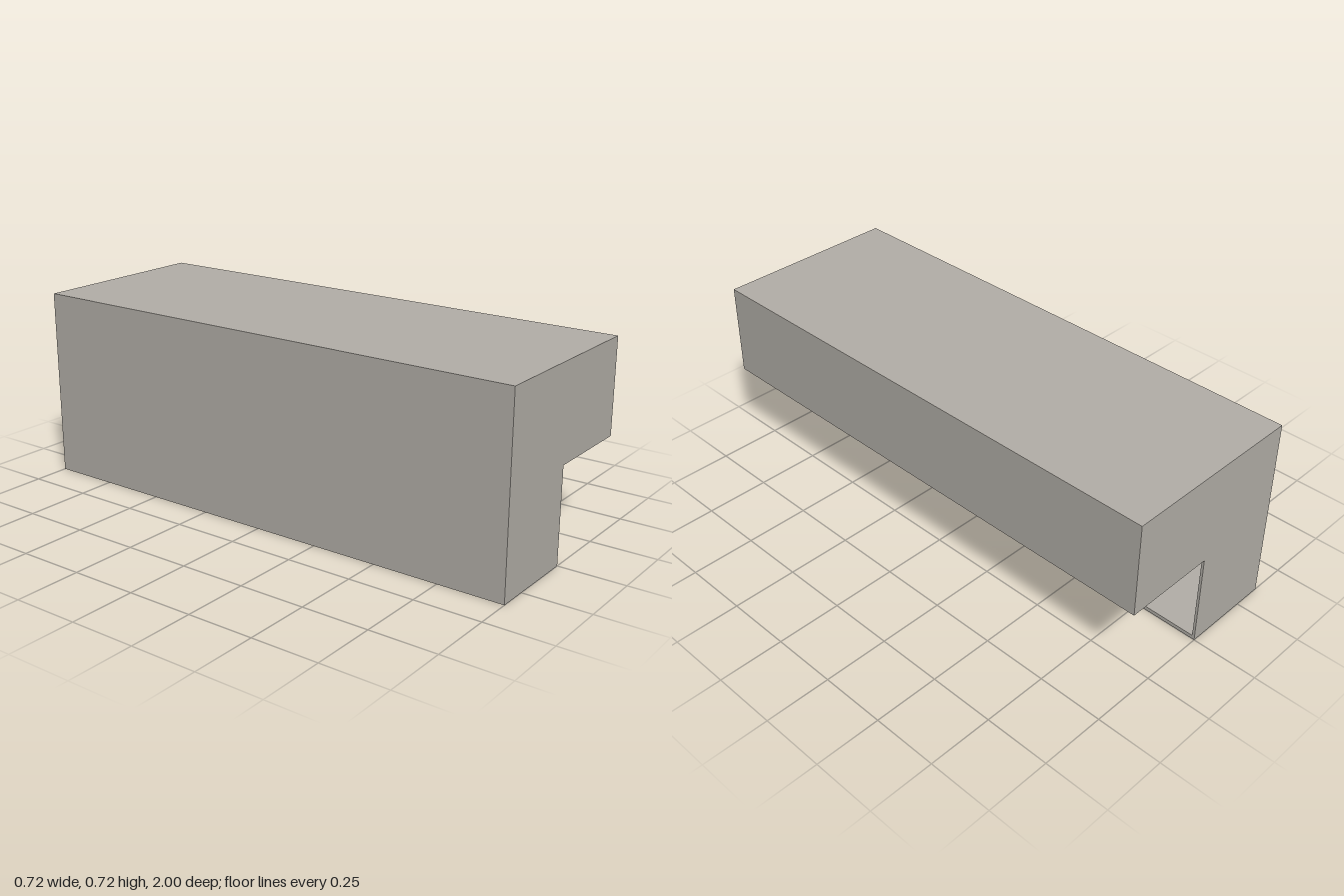
import * as THREE from 'three';

const T = 0.01;      // panel thickness
const FLOOR = 0.015; // floor thickness

function shapeOf(points) {
  return new THREE.Shape(points.map(([x, y]) => new THREE.Vector2(x, y)));
}

// Extrude a cross-section along z, centred on the given z
function slab(points, depth, z, name, material) {
  const geometry = new THREE.ExtrudeGeometry(shapeOf(points), { depth, bevelEnabled: false });
  geometry.translate(0, 0, z - depth / 2);
  const mesh = new THREE.Mesh(geometry, material);
  mesh.name = name;
  return mesh;
}

export function createModel() {
  const group = new THREE.Group();
  group.name = 'overhangingStallBlock';
  const grey = new THREE.MeshStandardMaterial({ color: 0xb3afa8 });
  grey.name = 'warm grey';

  // Back wall, floor, roof and hanging front wall as one continuous section
  const shell = [
    [-0.36, 0], [0, 0], [0, FLOOR], [-0.36 + T, FLOOR], [-0.36 + T, 0.72 - T],
    [0.36 - T, 0.72 - T], [0.36 - T, 0.36], [0.36, 0.36], [0.36, 0.72], [-0.36, 0.72],
  ];
  group.add(slab(shell, 2 - 2 * T, 0, 'outerShell', grey));

  // Solid end walls
  const endProfile = [
    [-0.36, 0], [0, 0], [0, 0.36], [0.36, 0.36], [0.36, 0.72], [-0.36, 0.72],
  ];
  for (const side of [1, -1]) {
    group.add(slab(endProfile, T, side * (1 - T / 2), side > 0 ? 'frontEndWall' : 'backEndWall', grey));
  }

  // Dividers fitted inside the shell
  const dividerProfile = [
    [-0.36 + T, FLOOR], [0, FLOOR], [0, 0.36], [0.36 - T, 0.36],
    [0.36 - T, 0.72 - T], [-0.36 + T, 0.72 - T],
  ];
  [0.64, 0.14, -0.078, -0.295, -0.51, -0.727].forEach((z, i) => {
    group.add(slab(dividerProfile, T, z, `divider${i + 1}`, grey));
  });

  // Wall-mounted boxes in three of the narrow stalls
  const front = -0.09, back = -0.36 + T;
  [-0.2, -0.415, -0.632].forEach((z, i) => {
    const box = new THREE.Mesh(new THREE.BoxGeometry(front - back, 0.135, 0.084), grey);
    box.position.set((front + back) / 2, 0.295 + 0.135 / 2, z);
    box.name = `wallBox${i + 1}`;
    group.add(box);
  });

  return group;
}
